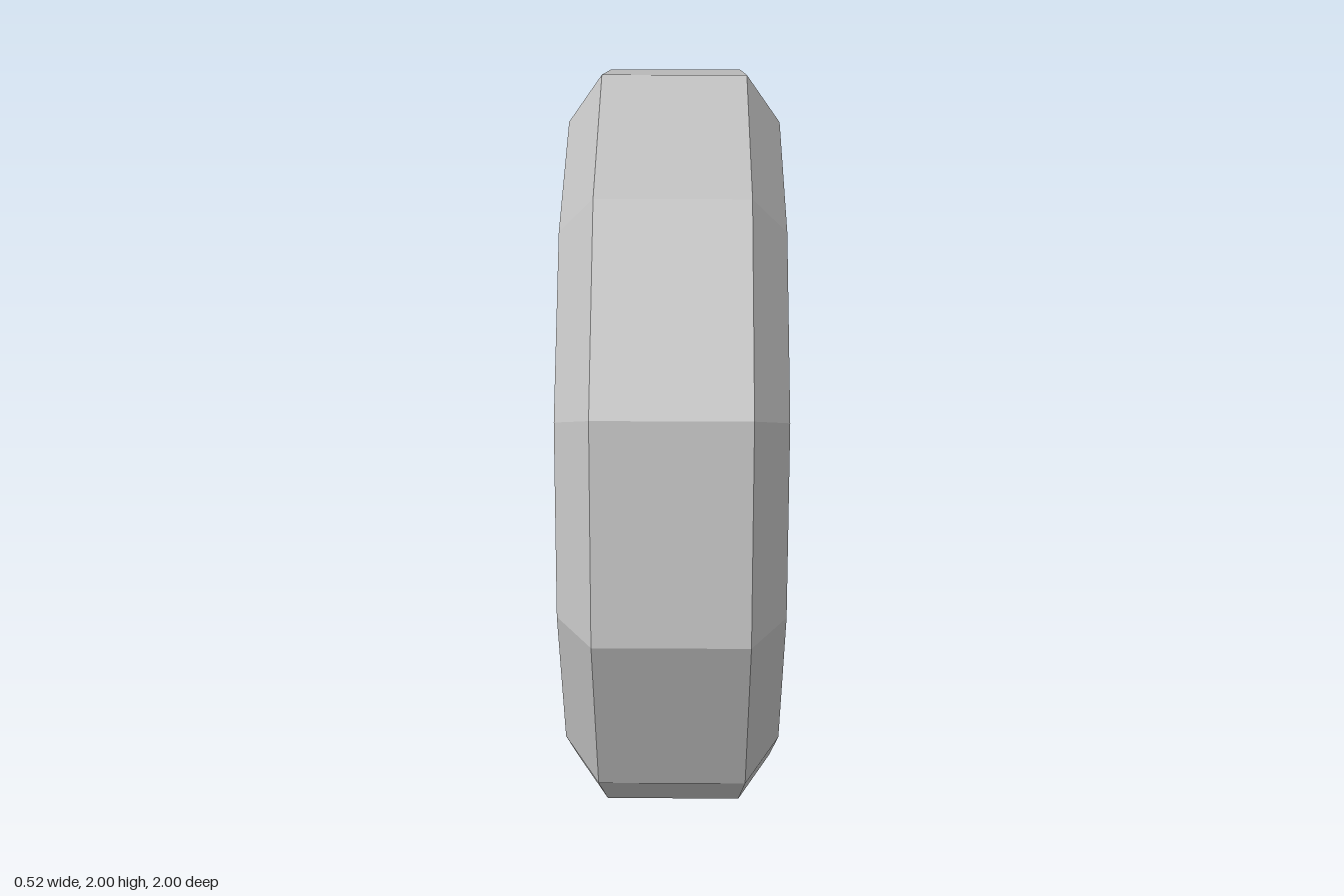
import * as THREE from 'three';

const SIDES = 12;
const grey = new THREE.MeshStandardMaterial({ color: 0xc0c0c0 });
grey.name = 'grey';

// Turns the axle onto x and gives every face its own flat normal
function part(name, geometry) {
  const flat = geometry.rotateZ(-Math.PI / 2).toNonIndexed();
  flat.computeVertexNormals();
  const mesh = new THREE.Mesh(flat, grey);
  mesh.name = name;
  return mesh;
}

function lathe(points) {
  return new THREE.LatheGeometry(points.map(([r, x]) => new THREE.Vector2(r, x)), SIDES);
}

export function createModel() {
  const wheel = new THREE.Group();
  wheel.name = 'wheel';

  // Half profile (radius, offset along axle): recess wall, sidewall, shoulder, tread
  const half = [[0.64, 0.17], [0.715, 0.25], [0.88, 0.262], [1, 0.178]];
  const mirrored = half.map(([r, x]) => [r, -x]);
  wheel.add(part('tire', lathe([...mirrored, ...half.slice().reverse()])));

  // Shallow conical discs inside the recess, one on each side
  wheel.add(part('leftDisc', lathe([[0.64, 0.17], [0, 0.19]])));
  wheel.add(part('rightDisc', lathe([[0, -0.19], [0.64, -0.17]])));

  // Eight-sided hub cap showing on both sides
  wheel.add(part('hub', new THREE.CylinderGeometry(0.235, 0.235, 0.45, 8)));

  wheel.position.y = 1;
  const model = new THREE.Group();
  model.add(wheel);
  return model;
}
